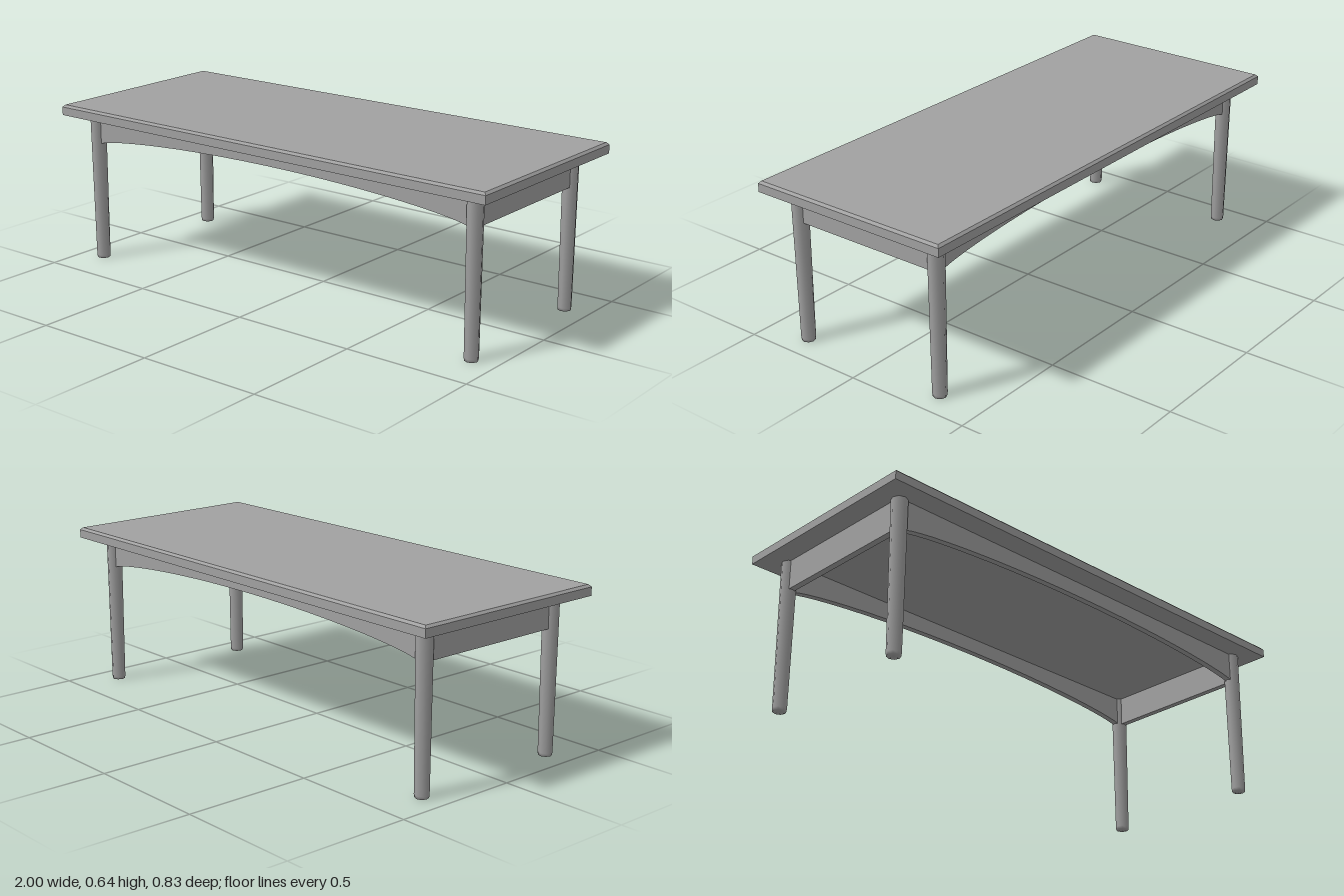
import * as THREE from 'three';
import { toCreasedNormals } from 'three/addons/utils/BufferGeometryUtils.js';

const LEG_X = 0.9, LEG_Z = 0.317, TOP_Y = 0.601, APRON_Y = 0.483;

export function createModel() {
  const group = new THREE.Group();
  const material = new THREE.MeshStandardMaterial({ color: 0xa1a1a1 });
  const add = (name, geometry, x, y, z) => {
    const mesh = new THREE.Mesh(geometry, material);
    mesh.name = name;
    mesh.position.set(x, y, z);
    group.add(mesh);
  };

  // Table top: a slab whose upper rim is bevelled
  const slab = new THREE.BoxGeometry(2, 0.042, 0.83, 1, 2, 1);
  const p = slab.attributes.position;
  for (let i = 0; i < p.count; i++) {
    const y = p.getY(i);
    if (y > 0.01) p.setXYZ(i, p.getX(i) * 0.991, y, p.getZ(i) * 0.979);
    else if (y > -0.01) p.setY(i, 0.012);
  }
  add('tableTop', toCreasedNormals(slab, 0.3), 0, TOP_Y + 0.021, 0);

  // Tapered eight-sided legs with a slightly eased foot, closed above by the top
  const legProfile = [[0, 0], [0.0255, 0], [0.027, 0.012], [0.031, TOP_Y]]
    .map(([r, y]) => new THREE.Vector2(r, y));
  const leg = toCreasedNormals(new THREE.LatheGeometry(legProfile, 8), 1.7);
  for (const [sideX, xName] of [[1, 'Left'], [-1, 'Right']])
    for (const [sideZ, zName] of [[1, 'front'], [-1, 'back']])
      add(`${zName}${xName}Leg`, leg, sideX * LEG_X, 0, sideZ * LEG_Z);

  // Long aprons with an arched lower edge
  const half = 0.88, thick = 0.025, steps = 24;
  const shape = new THREE.Shape();
  shape.moveTo(half, TOP_Y);
  shape.lineTo(-half, TOP_Y);
  for (let i = 0; i <= steps; i++) {
    const a = (i / steps) * Math.PI;
    shape.lineTo(-Math.cos(a) * half, APRON_Y + 0.059 * Math.abs(Math.sin(a)) ** 1.4);
  }
  shape.closePath();
  const longApron = new THREE.ExtrudeGeometry(shape, { depth: thick, bevelEnabled: false });
  longApron.translate(0, 0, -thick / 2);
  const arched = toCreasedNormals(longApron, 0.5);
  add('frontApron', arched, 0, 0, LEG_Z);
  add('backApron', arched, 0, 0, -LEG_Z);

  // Short straight aprons
  const shortApron = new THREE.BoxGeometry(thick, TOP_Y - APRON_Y, 0.59);
  add('leftApron', shortApron, LEG_X, (TOP_Y + APRON_Y) / 2, 0);
  add('rightApron', shortApron, -LEG_X, (TOP_Y + APRON_Y) / 2, 0);

  return group;
}
